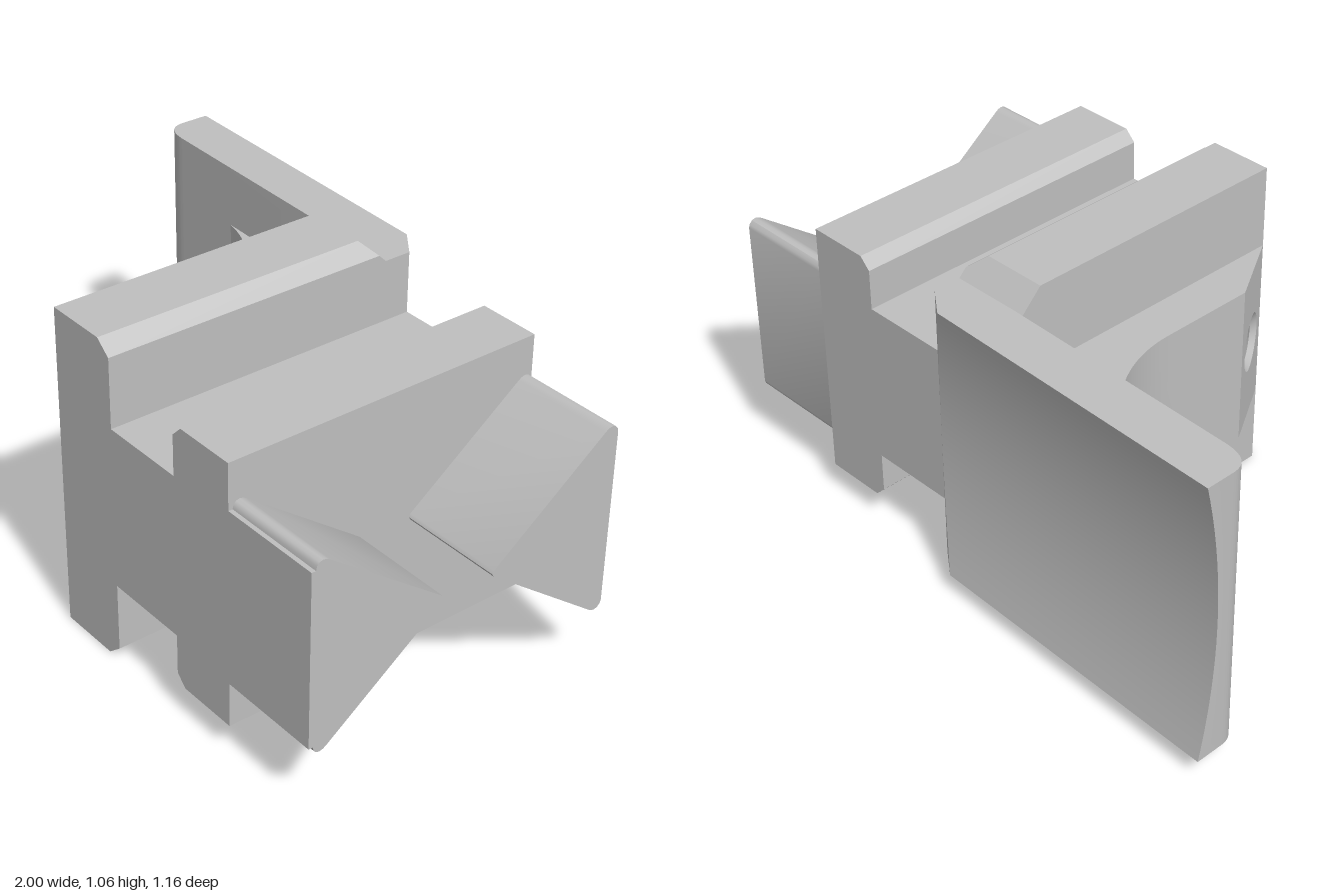
import * as THREE from 'three';
import { toCreasedNormals } from 'three/addons/utils/BufferGeometryUtils.js';
import { ConvexGeometry } from 'three/addons/geometries/ConvexGeometry.js';

const MID = 0.5315; // height of the horizontal symmetry plane
const FRONT = 0.58, BACK = -0.487;

const shapeOf = (pts) => new THREE.Shape(pts.map(([x, y]) => new THREE.Vector2(x, y)));
const extrude = (shape, depth, steps = 1) =>
  new THREE.ExtrudeGeometry(shape, { depth, steps, bevelEnabled: false, curveSegments: 28 });

// Extrude a plan drawn in (x, z) vertically, centred on the symmetry plane
function extrudePlan(shape, half, steps) {
  return extrude(shape, 2 * half, steps).rotateX(Math.PI / 2).translate(0, MID + half, 0);
}

export function createModel() {
  const group = new THREE.Group();
  const grey = new THREE.MeshStandardMaterial({ color: 0xbfbfbf });
  grey.name = 'grey';
  const add = (name, geometry, parent = group) => {
    const mesh = new THREE.Mesh(geometry, grey);
    mesh.name = name;
    parent.add(mesh);
    return mesh;
  };

  // Central body with a curved gusset; the slanted side is left open for the drilled face
  const plan = shapeOf([[-0.13, FRONT], [0.66, FRONT], [0.66, BACK], [0.13, BACK], [0.13, -0.41], [-0.72, -0.42]]);
  plan.absarc(-0.72, 0.03, 0.45, -Math.PI / 2, 0, false);
  plan.lineTo(-0.27, 0.35);
  const body = extrudePlan(plan, 0.265);
  const p = body.attributes.position;
  const kept = [];
  for (let i = 0; i < p.count; i += 3) {
    const slanted = [i, i + 1, i + 2].every((k) => p.getX(k) < -0.129 && p.getZ(k) > 0.349);
    if (!slanted) for (let k = i; k < i + 3; k++) kept.push(p.getX(k), p.getY(k), p.getZ(k));
  }
  const open = new THREE.BufferGeometry();
  open.setAttribute('position', new THREE.Float32BufferAttribute(kept, 3));
  add('body', toCreasedNormals(open, 0.4));

  // Slanted face with its threaded hole
  const drilled = new THREE.Group();
  drilled.name = 'drilledFace';
  drilled.position.set(-0.2, MID, 0.465);
  drilled.rotation.y = Math.atan2(-0.23, 0.14);
  group.add(drilled);
  const w = Math.hypot(0.14, 0.23) / 2;
  const face = shapeOf([[-w, -0.265], [w, -0.265], [w, 0.265], [-w, 0.265]]);
  face.holes.push(new THREE.Path().absarc(0, 0, 0.092, 0, Math.PI * 2, true));
  add('slantedFace', new THREE.ShapeGeometry(face, 20), drilled);
  const thread = [];
  for (let i = 0; i <= 22; i++) thread.push(new THREE.Vector2(i % 2 ? 0.074 : 0.092, -i * 0.018));
  thread.push(new THREE.Vector2(0, -0.4));
  add('threadedHole', toCreasedNormals(new THREE.LatheGeometry(thread, 40).rotateX(Math.PI / 2), 0.5), drilled);

  // Inner rail: upper and lower halves with chamfered edge and sloping rear end
  const railProfile = [[-0.13, 0.265], [-0.13, 0.4615], [-0.13, 0.5315], [0.08, 0.5315], [0.13, 0.49], [0.13, 0.4615], [0.13, 0.265]];
  for (const side of [1, -1]) {
    const points = [];
    for (const [x, h] of railProfile) {
      const rear = Math.max(-0.4, -0.33 - (0.5315 - h));
      for (const z of [FRONT, rear]) points.push(new THREE.Vector3(x, MID + side * h, z));
    }
    add(side > 0 ? 'upperInnerRail' : 'lowerInnerRail', new ConvexGeometry(points));
  }

  // Outer rail, full height
  const outer = shapeOf([[0.42, -0.395], [0.455, -0.43], [0.66, -0.43], [0.66, 0.43], [0.455, 0.43], [0.42, 0.395]]);
  add('outerRail', extrude(outer, FRONT - BACK).translate(0, MID, BACK));

  // Back plate: the rear surface is hollowed across its height
  const plate = new THREE.Shape();
  plate.moveTo(-1, -0.585);
  plate.lineTo(0.04, -0.555);
  plate.lineTo(0.13, BACK);
  plate.lineTo(0.13, -0.39);
  plate.lineTo(-0.9, -0.42);
  plate.bezierCurveTo(-0.96, -0.422, -1, -0.44, -1, -0.495);
  const plateGeo = extrudePlan(plate, 0.465, 24);
  const q = plateGeo.attributes.position;
  for (let i = 0; i < q.count; i++) {
    if (q.getZ(i) > -0.53) continue;
    const d = 0.056 * (1 - ((q.getY(i) - MID) / 0.465) ** 2);
    const corner = q.getX(i) > 0; // this corner slides along the chamfer
    q.setX(i, q.getX(i) + (corner ? d / 0.72 : 0));
    q.setZ(i, q.getZ(i) + (corner ? 1.04 * d : d));
  }
  add('backPlate', toCreasedNormals(plateGeo, 0.4));

  // Triangular lugs on the outer end, drawn in (-z, y)
  const addLug = (name, half) => {
    const mirrored = half.slice(0, -1).reverse().map(([s, y]) => [s, -y]);
    const geo = extrude(shapeOf([...half, ...mirrored]), 0.34);
    add(name, toCreasedNormals(geo.rotateY(Math.PI / 2).translate(0.66, MID, 0), 0.6));
  };
  addLug('frontLug', [[-FRONT, 0.283], [-0.566, 0.283], [-0.563, 0.296], [-0.555, 0.305], [-0.543, 0.308],
    [-0.531, 0.305], [-0.52, 0.298], [-0.132, 0.01], [-0.126, 0]]);
  addLug('backLug', [[-BACK, 0.283], [0.484, 0.294], [0.474, 0.305], [0.461, 0.308],
    [0.449, 0.305], [0.438, 0.298], [0.052, 0.01], [0.046, 0]]);

  return group;
}
